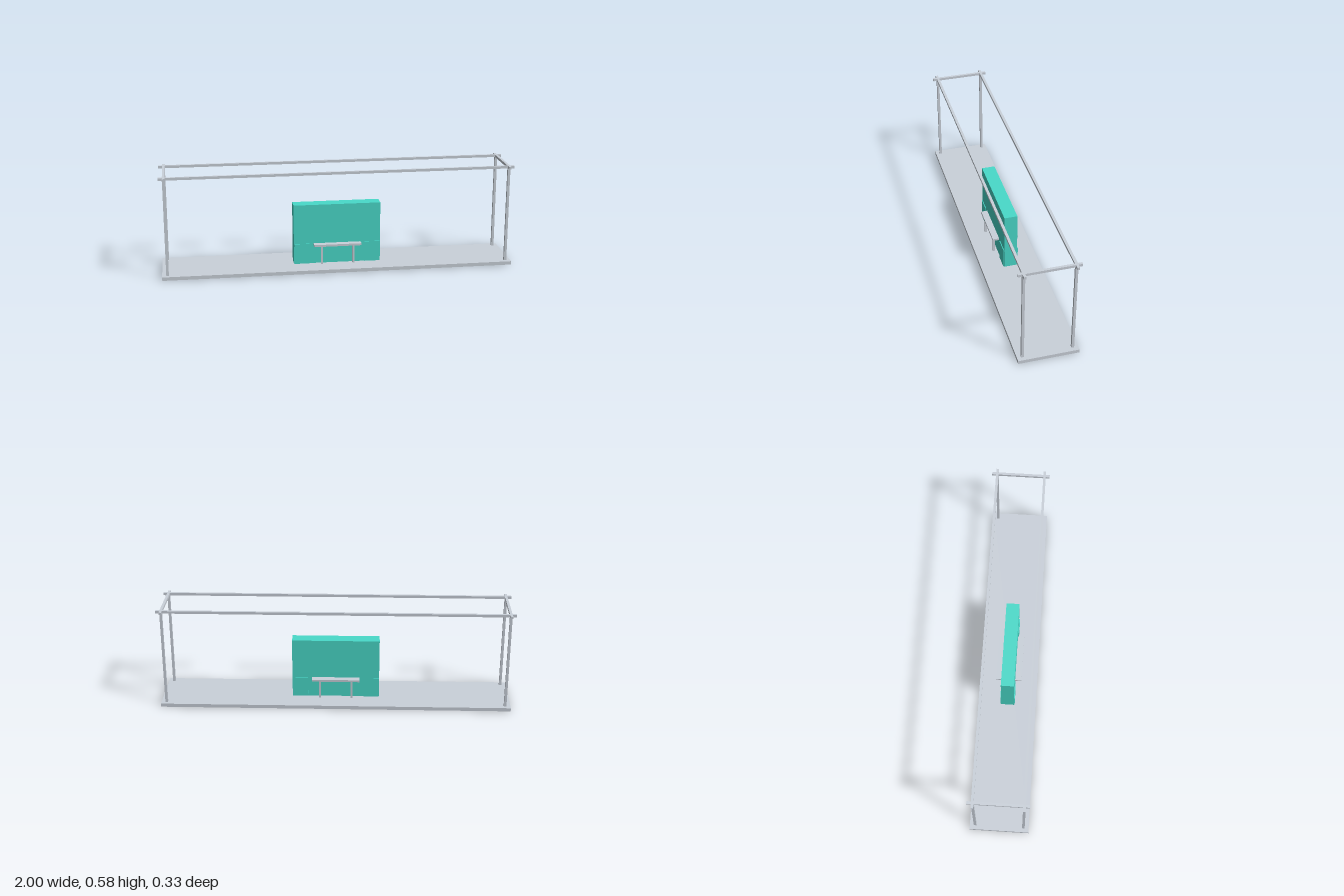
import * as THREE from 'three';

export function createModel() {
  const model = new THREE.Group();
  model.name = 'boothFrame';
  const grey = new THREE.MeshStandardMaterial({ color: 0xcad1da });
  grey.name = 'light grey metal';
  const teal = new THREE.MeshStandardMaterial({ color: 0x49daca });
  teal.name = 'teal panel';

  const box = (name, material, w, h, d, x, y, z) => {
    const mesh = new THREE.Mesh(new THREE.BoxGeometry(w, h, d), material);
    mesh.name = name;
    mesh.position.set(x, y, z);
    model.add(mesh);
  };

  // Floor slab and central wall, whose foot shows through the underside
  box('floor', grey, 2, 0.02, 0.334, 0, 0.01, 0);
  box('wall', teal, 0.5, 0.3685, 0.075, 0, 0.18375, 0);

  // Low raised panels near both ends of each wall face
  for (const x of [-0.204, 0.204])
    box('lowPanel', teal, 0.088, 0.118, 0.084, x, 0.079, 0);

  // Square uprights and the overlapping top rails
  const px = 0.97, pz = 0.137, t = 0.0145, railY = 0.577;
  for (const x of [-px, px]) {
    for (const z of [-pz, pz]) box('post', grey, t, 0.555, t, x, 0.2975, z);
    box('endRail', grey, t, t, 0.334, x, railY, 0);
  }
  for (const z of [-pz, pz]) box('longRail', grey, 2, t, t, 0, railY, z);

  // Narrow bench on each side of the wall
  for (const side of [-1, 1]) {
    box('benchSeat', grey, 0.272, 0.012, 0.038, 0, 0.133, side * 0.0555);
    for (const x of [-0.091, 0.091])
      box('benchLeg', grey, 0.011, 0.108, 0.011, x, 0.074, side * 0.0585);
  }
  return model;
}
